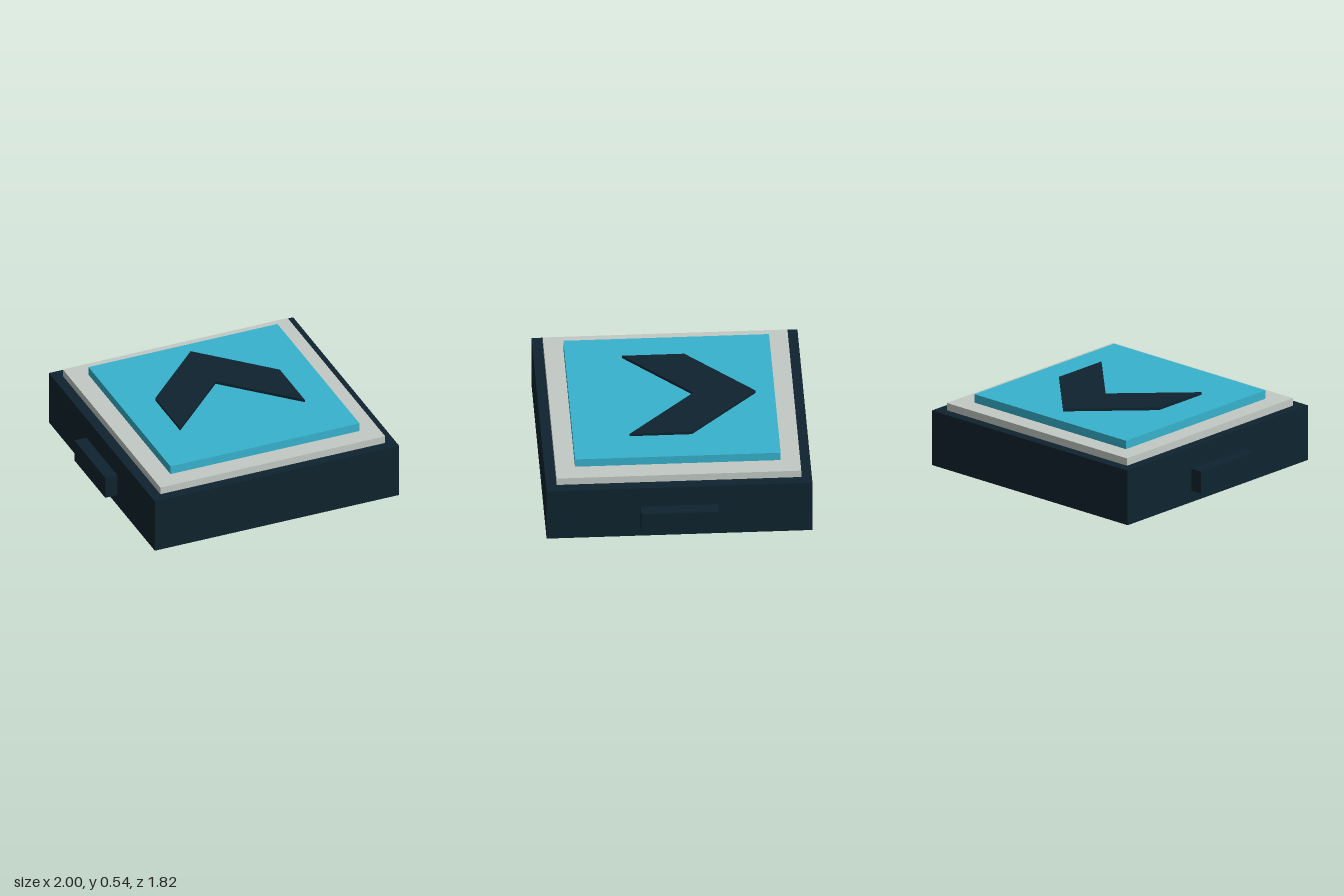
import * as THREE from 'three';

const material = (name, color) => {
  const m = new THREE.MeshStandardMaterial({ color });
  m.name = name;
  return m;
};

export function createModel() {
  const group = new THREE.Group();
  group.name = 'arrowPad';
  const dark = material('darkNavy', 0x0e232e);
  const grey = material('paleGrey', 0xc3cbc5);
  const blue = material('cyanBlue', 0x37b3ce);

  const add = (name, geometry, mat) => {
    const mesh = new THREE.Mesh(geometry, mat);
    mesh.name = name;
    group.add(mesh);
    return mesh;
  };
  // Box centred on x and z, between two heights
  const slab = (name, width, y0, y1, depth, mat) => {
    const mesh = add(name, new THREE.BoxGeometry(width, y1 - y0, depth), mat);
    mesh.position.y = (y0 + y1) / 2;
    return mesh;
  };

  // Stacked square layers
  slab('base', 1.82, 0, 0.395, 1.82, dark);
  slab('rim', 1.675, 0.395, 0.448, 1.675, grey);
  slab('panel', 1.408, 0.448, 0.509, 1.408, blue);

  // Lugs on both sides, sunk slightly into the base
  for (const side of [-1, 1]) {
    const lug = slab(side > 0 ? 'leftLug' : 'rightLug', 0.12, 0.082, 0.242, 0.532, dark);
    lug.position.x = side * 0.94;
  }

  // Chevron hovering just above the panel, pointing to the back
  const outline = [[0, 0.573], [-0.464, 0.11], [-0.464, -0.317], [0, 0.145], [0.464, -0.317], [0.464, 0.11]];
  const shape = new THREE.Shape(outline.map(([x, y]) => new THREE.Vector2(x, y)));
  const chevronGeometry = new THREE.ExtrudeGeometry(shape, { depth: 0.019, bevelEnabled: false });
  chevronGeometry.rotateX(-Math.PI / 2);
  add('chevron', chevronGeometry, dark).position.y = 0.519;

  return group;
}
